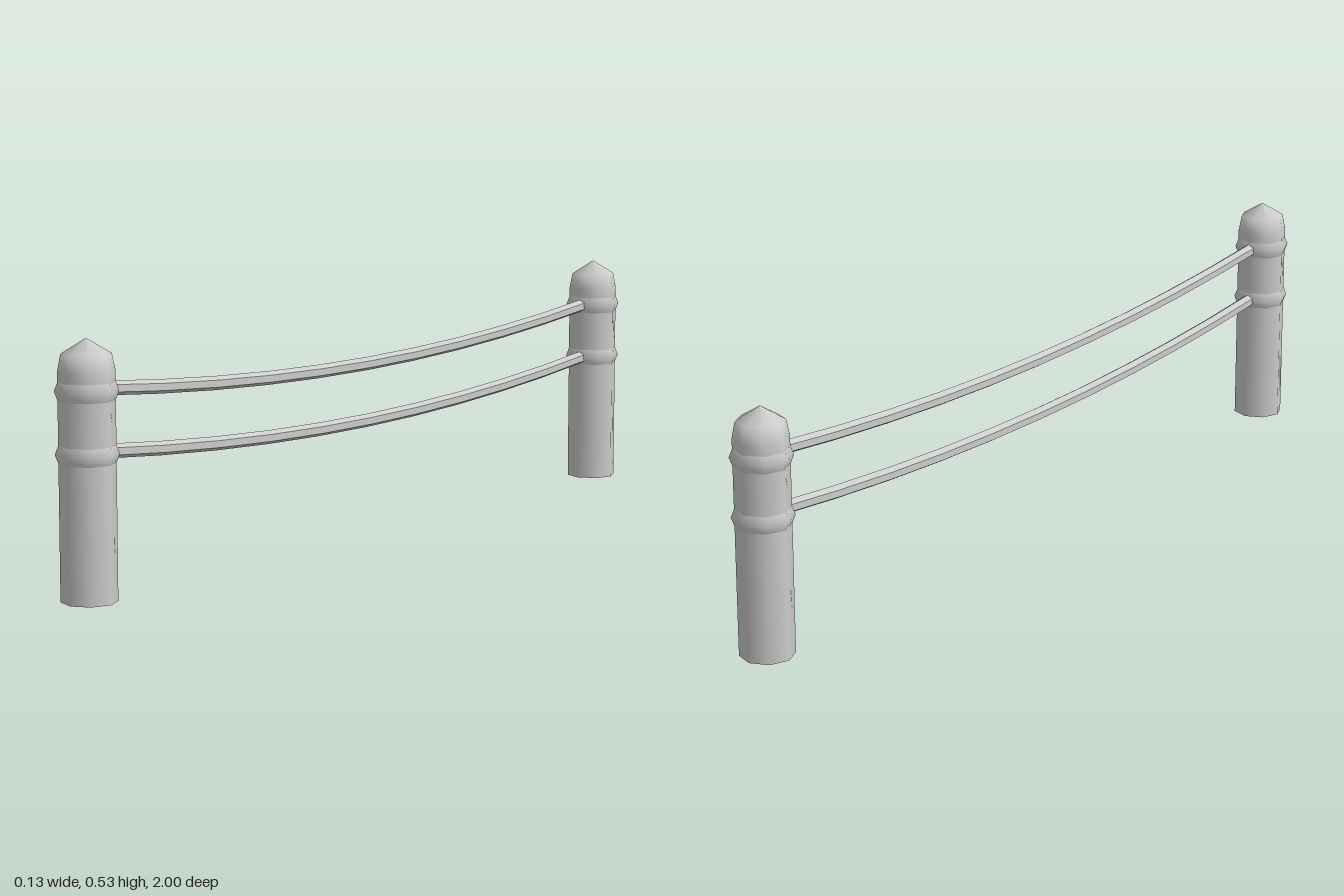
import * as THREE from 'three';

const POST_Z = 0.935;
const ROPE_END = 0.89;

export function createModel() {
  const model = new THREE.Group();
  model.name = 'ropeFence';
  const stone = new THREE.MeshStandardMaterial({ color: 0xcccccc, side: THREE.DoubleSide });
  stone.name = 'plain grey';

  // Each band of the post is its own eight-sided lathe, so the joints stay sharp
  const bands = {
    lowerShaft: [[0.058, 0], [0.058, 0.282]],
    lowerRing: [[0.058, 0.282], [0.065, 0.3], [0.058, 0.318]],
    upperShaft: [[0.058, 0.318], [0.058, 0.409]],
    upperRing: [[0.058, 0.409], [0.065, 0.428], [0.058, 0.446]],
    cap: [[0.058, 0.446], [0.058, 0.468], [0.051, 0.503], [0, 0.534]],
  };

  function makePost(name, z) {
    const post = new THREE.Group();
    post.name = name;
    for (const [part, profile] of Object.entries(bands)) {
      const points = profile.map(([r, y]) => new THREE.Vector2(r, y));
      const mesh = new THREE.Mesh(new THREE.LatheGeometry(points, 8), stone);
      mesh.name = part;
      post.add(mesh);
    }
    post.position.z = z;
    return post;
  }

  // Six-sided rope, bent into a shallow sag
  function makeRope(name, endY) {
    const bar = new THREE.CylinderGeometry(0.015, 0.015, 2 * ROPE_END, 6, 10);
    bar.rotateX(Math.PI / 2);
    const pos = bar.attributes.position;
    for (let i = 0; i < pos.count; i++) {
      const t = pos.getZ(i) / ROPE_END;
      pos.setY(i, pos.getY(i) + endY - 0.048 * (1 - t * t));
    }
    const flat = bar.toNonIndexed();
    flat.computeVertexNormals();
    const mesh = new THREE.Mesh(flat, stone);
    mesh.name = name;
    return mesh;
  }

  model.add(
    makePost('frontPost', POST_Z),
    makePost('backPost', -POST_Z),
    makeRope('upperRope', 0.428),
    makeRope('lowerRope', 0.3),
  );
  return model;
}
